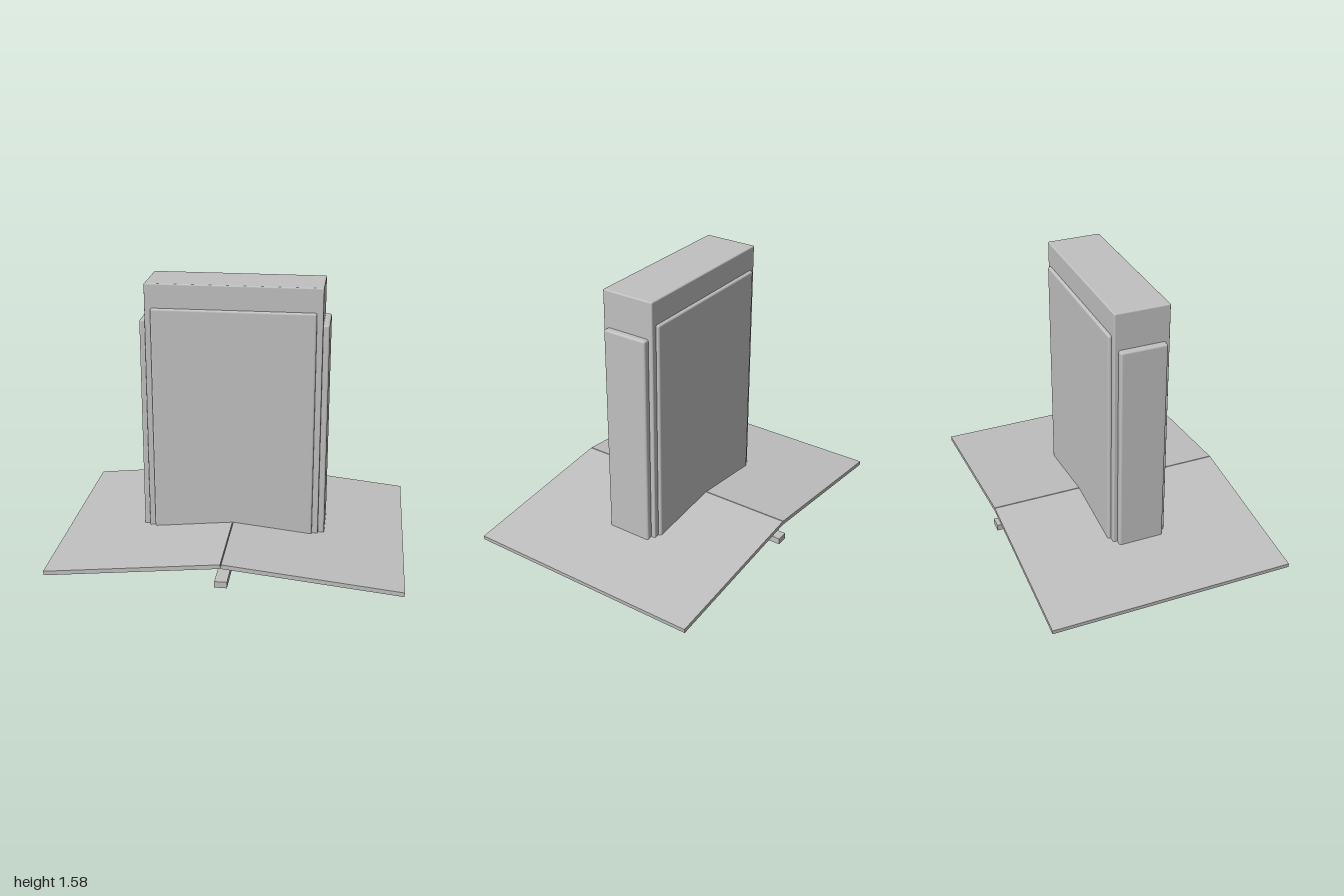
import * as THREE from 'three';
import { RoundedBoxGeometry } from 'three/addons/geometries/RoundedBoxGeometry.js';

export function createModel() {
  const model = new THREE.Group();
  model.name = 'chimneyOnRoof';
  const grey = new THREE.MeshStandardMaterial({ color: 0xc0c0c0 });
  grey.name = 'plain grey';

  const add = (name, geometry, x, y, z) => {
    const mesh = new THREE.Mesh(geometry, grey);
    mesh.name = name;
    mesh.position.set(x, y, z);
    model.add(mesh);
    return mesh;
  };

  // Upright block with softly rounded edges, given by its bottom and top
  const block = (name, width, depth, bottom, top, x = 0, z = 0, radius = 0.012) =>
    add(name, new RoundedBoxGeometry(width, top - bottom, depth, 3, radius),
      x, (bottom + top) / 2, z);

  // Chimney core
  block('chimneyCore', 1.0, 0.32, 0.003, 1.575, 0, 0, 0.008);

  // Facing panels on all four sides, sunk into the core
  for (const s of [1, -1]) {
    block(s > 0 ? 'frontPanel' : 'backPanel', 0.93, 0.06, 0, 1.435, 0, s * 0.148);
    block(s > 0 ? 'leftPanel' : 'rightPanel', 0.08, 0.27, 0.003, 1.36, s * 0.496, 0);
  }

  // Two sloping roof slabs whose lower edges meet at the ridge
  const length = 1.43, thickness = 0.025;
  const slope = Math.atan2(0.105, 1);
  const lean = thickness * Math.sin(slope);
  const slabWidth = (1 - lean) / Math.cos(slope);
  const ridgeBottom = 0.13;
  for (const s of [1, -1]) {
    const x = slabWidth / 2 * Math.cos(slope) + lean / 2;
    const y = ridgeBottom - slabWidth / 2 * Math.sin(slope) + thickness / 2 * Math.cos(slope);
    const slab = add(s > 0 ? 'leftRoofSlab' : 'rightRoofSlab',
      new THREE.BoxGeometry(slabWidth, thickness, length), s * x, y, 0);
    slab.rotation.z = -s * slope;
  }

  // Beam running under the ridge
  add('ridgeBeam', new THREE.BoxGeometry(0.07, 0.037, length), 0, 0.0315, 0);

  return model;
}
